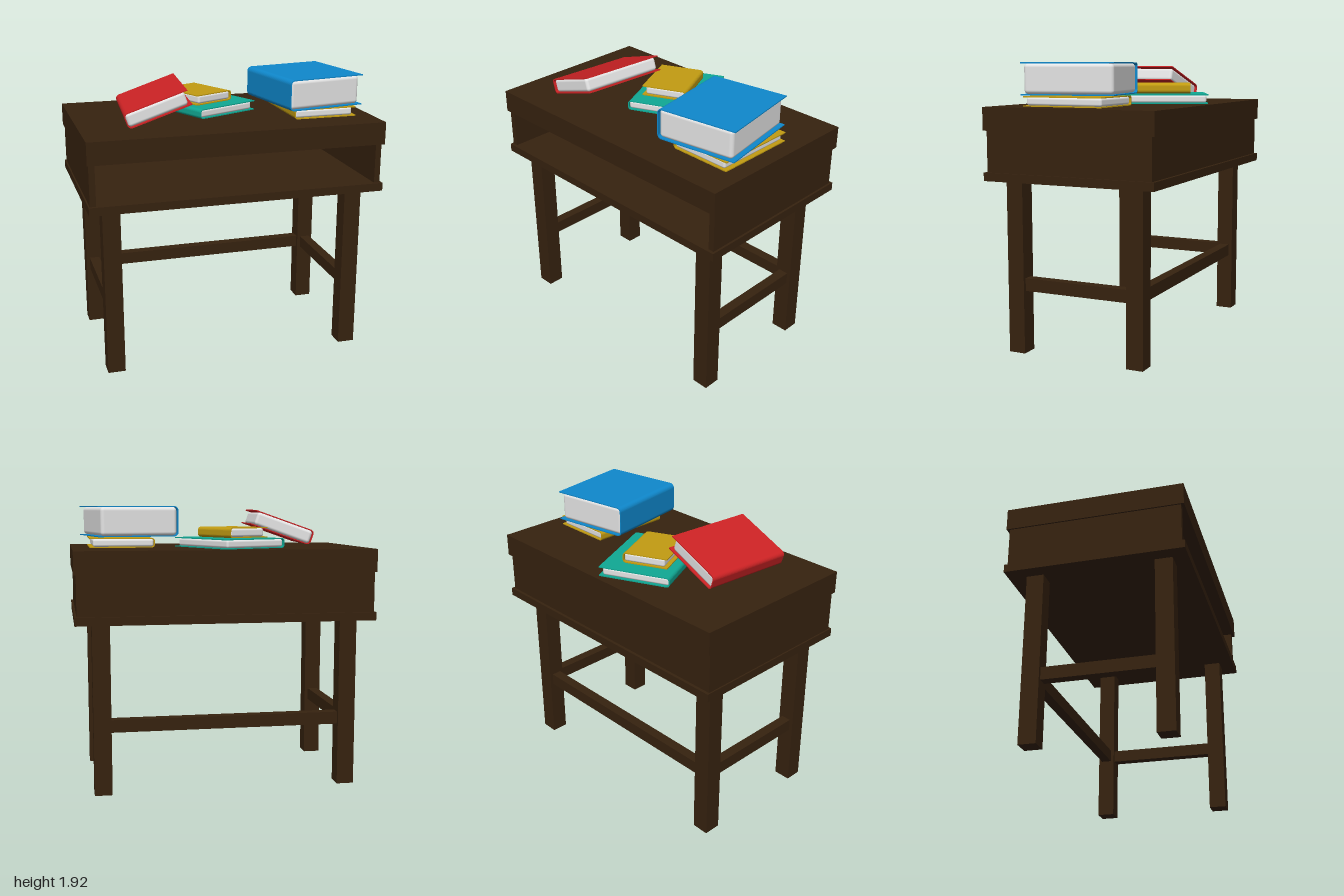
import * as THREE from 'three';
import { RoundedBoxGeometry } from 'three/addons/geometries/RoundedBoxGeometry.js';

const mat = (name, color) => {
  const m = new THREE.MeshStandardMaterial({ color });
  m.name = name;
  return m;
};

export function createModel() {
  const wood = mat('darkWood', 0x36220f);
  const paper = mat('paper', 0xe4e4e4);
  const red = mat('redCover', 0xcc2224);
  const blue = mat('blueCover', 0x0f88cc);
  const teal = mat('tealCover', 0x10a894);
  const gold = mat('goldCover', 0xc29c12);

  const model = new THREE.Group();
  model.name = 'deskWithBooks';

  // Box given by its minimum and maximum corners
  const desk = new THREE.Group();
  desk.name = 'desk';
  model.add(desk);
  const board = (name, x0, x1, y0, y1, z0, z1) => {
    const mesh = new THREE.Mesh(new THREE.BoxGeometry(x1 - x0, y1 - y0, z1 - z0), wood);
    mesh.name = name;
    mesh.position.set((x0 + x1) / 2, (y0 + y1) / 2, (z0 + z1) / 2);
    desk.add(mesh);
  };

  // Desk body: an open-fronted compartment between two slabs
  board('deskTop', -1, 1, 1.482, 1.633, -0.6, 0.6);
  board('compartmentFloor', -1, 1, 1.157, 1.212, -0.6, 0.6);
  board('rightWall', -0.99, -0.95, 1.212, 1.482, -0.58, 0.58);
  board('leftWall', 0.945, 0.985, 1.212, 1.482, -0.58, 0.58);
  board('backWall', -0.95, 0.945, 1.212, 1.482, -0.58, -0.54);

  // Legs and side stretchers
  for (const x of [-0.845, 0.828]) {
    board('frontLeg', x - 0.059, x + 0.059, 0, 1.157, 0.383, 0.5);
    board('backLeg', x - 0.059, x + 0.059, 0, 1.157, -0.477, -0.36);
    board('sideStretcher', x - 0.035, x + 0.035, 0.422, 0.507, -0.36, 0.383);
  }
  board('backStretcher', -0.786, 0.769, 0.422, 0.507, -0.453, -0.383);

  // Book lying flat: w across, h thick, l along the spine, spine at local -x
  const book = (name, cover, w, h, l, r, pos, yaw, tilt = 0) => {
    const t = 0.007, a = w / 2, b = h / 2, q = Math.PI / 2;
    const group = new THREE.Group();
    group.name = name;

    // C-shaped cover section with a rounded spine
    const s = new THREE.Shape();
    s.moveTo(a, -b);
    s.lineTo(a, -b + t);
    s.lineTo(-a + r, -b + t);
    s.absarc(-a + r, -b + r, r - t, 3 * q, 2 * q, true);
    s.lineTo(-a + t, b - r);
    s.absarc(-a + r, b - r, r - t, 2 * q, q, true);
    s.lineTo(a, b - t);
    s.lineTo(a, b);
    s.lineTo(-a + r, b);
    s.absarc(-a + r, b - r, r, q, 2 * q, false);
    s.lineTo(-a, -b + r);
    s.absarc(-a + r, -b + r, r, 2 * q, 3 * q, false);
    s.closePath();
    const geo = new THREE.ExtrudeGeometry(s, { depth: l, bevelEnabled: false, curveSegments: 6 });
    geo.translate(0, 0, -l / 2);
    const shell = new THREE.Mesh(geo, cover);
    shell.name = 'cover';
    group.add(shell);

    // Page block, set in slightly from the cover edges
    const pages = new THREE.Mesh(
      new RoundedBoxGeometry(w - t - 0.022, h - 2 * t, l - 0.02, 4, r - t), paper);
    pages.name = 'pages';
    pages.position.x = (t - 0.022) / 2;
    group.add(pages);

    group.position.set(...pos);
    group.rotation.set(0, yaw, tilt);
    model.add(group);
  };

  book('thickBlueBook', blue, 0.56, 0.207, 0.615, 0.032, [0.6, 1.812, 0.1], 0.17);
  book('thinGoldBook', gold, 0.44, 0.066, 0.56, 0.022, [0.66, 1.668, 0.09], 0);
  book('tealBook', teal, 0.49, 0.066, 0.613, 0.022, [-0.072, 1.668, -0.188], 0.432);
  book('smallGoldBook', gold, 0.31, 0.07, 0.387, 0.022, [-0.098, 1.738, -0.175], 0.435 + Math.PI);
  book('leaningRedBook', red, 0.437, 0.105, 0.612, 0.028, [-0.478, 1.767, 0.103], -0.09, 0.34);

  return model;
}
